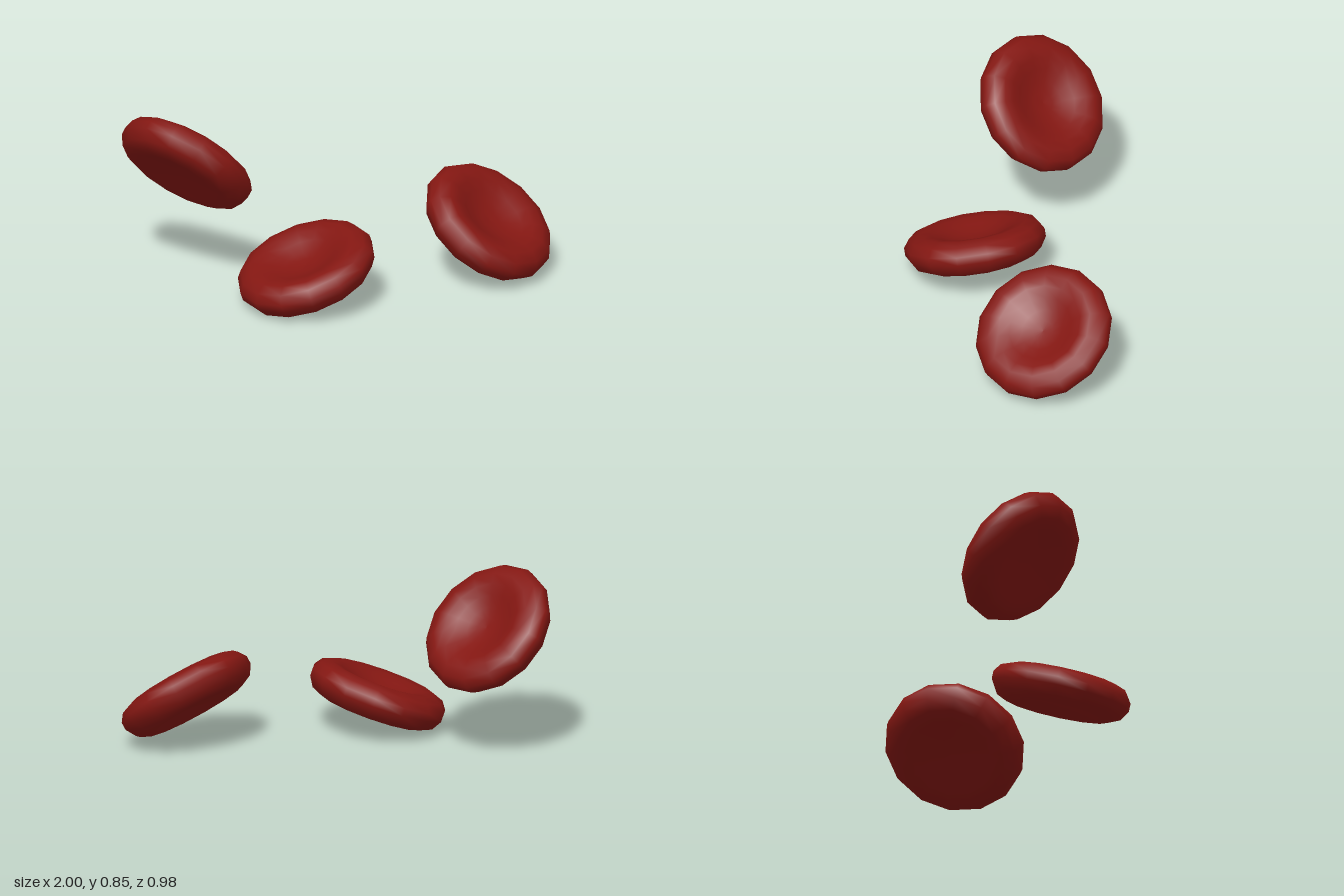
import * as THREE from 'three';

// Half cross-section of a cell, from the underside centre round the rim to the dimple centre
const PROFILE = [
  [0, -0.07], [0.1, -0.074], [0.19, -0.085], [0.25, -0.088], [0.302, -0.064],
  [0.331, -0.016], [0.331, 0.022], [0.304, 0.06], [0.255, 0.079], [0.205, 0.072],
  [0.155, 0.051], [0.1, 0.029], [0.05, 0.018], [0, 0.015],
];

// Position of each cell and the direction its dimple faces
const CELLS = [
  { name: 'leftCell', at: [0.701, 0.253, -0.173], facing: [0.5, 0.79, 0.33] },
  { name: 'middleCell', at: [-0.165, 0.172, 0.156], facing: [-0.32, 0.93, 0.155] },
  { name: 'rightCell', at: [-0.705, 0.592, -0.147], facing: [0.5, 0.68, -0.55] },
];

export function createModel() {
  const group = new THREE.Group();
  group.name = 'bloodCells';
  const material = new THREE.MeshStandardMaterial({ color: 0x841712 });
  const disc = new THREE.LatheGeometry(PROFILE.map(([x, y]) => new THREE.Vector2(x, y)), 14);
  const up = new THREE.Vector3(0, 1, 0);

  for (const { name, at, facing } of CELLS) {
    const cell = new THREE.Mesh(disc, material);
    cell.name = name;
    cell.position.set(...at);
    cell.quaternion.setFromUnitVectors(up, new THREE.Vector3(...facing).normalize());
    group.add(cell);
  }
  return group;
}
